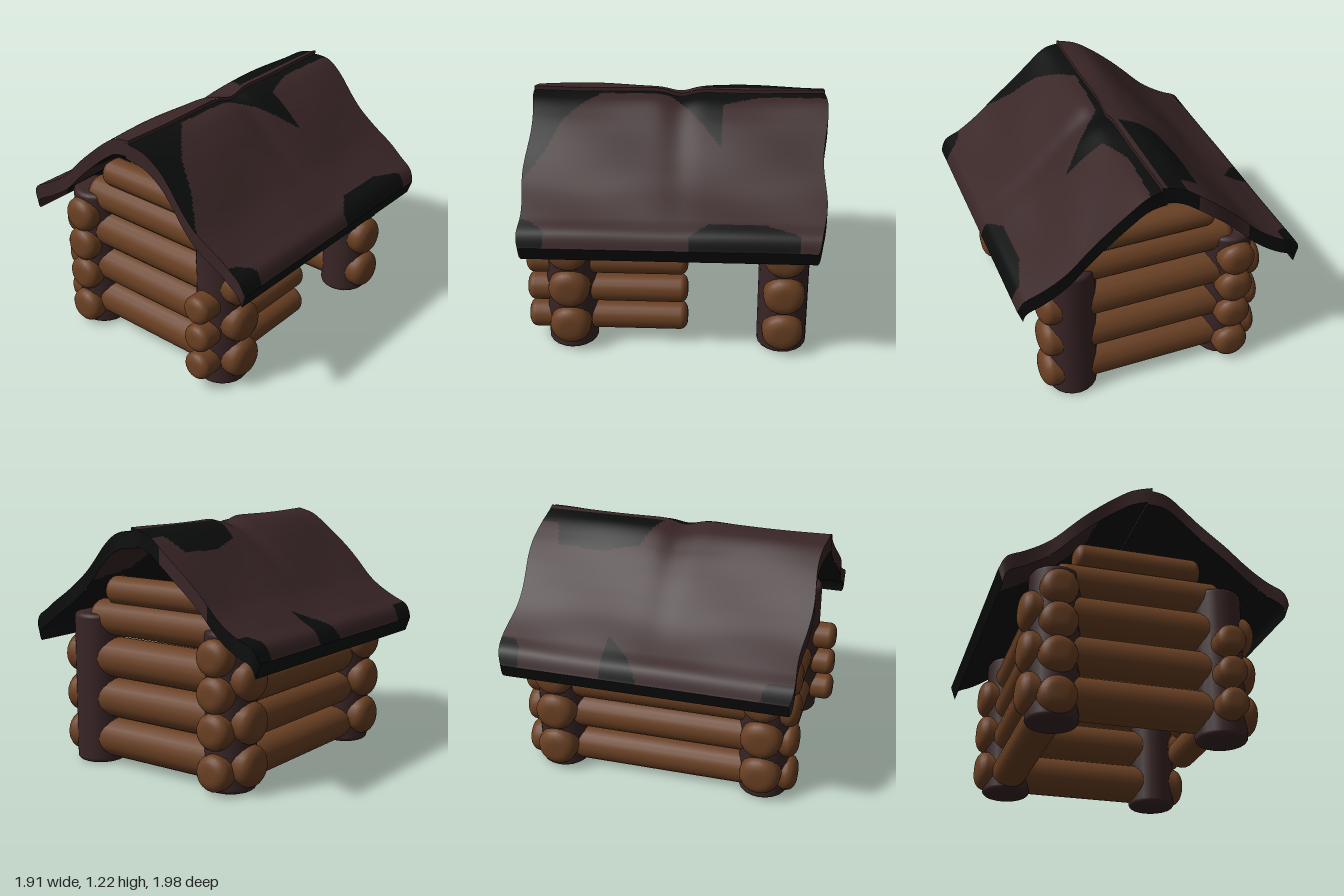
import * as THREE from 'three';

const wood = new THREE.MeshStandardMaterial({ color: 0x6a4023 });
wood.name = 'logWood';
const brown = new THREE.MeshStandardMaterial({ color: 0x392526 });
brown.name = 'darkBrown';
const black = new THREE.MeshStandardMaterial({ color: 0x0b0d0c });
black.name = 'charredBlack';

const A = 0.41, B = 0.53; // corner post offsets

// Round timber standing on y, with softened ends
function timber(name, radius, length, round, material) {
  const h = length / 2, pts = [new THREE.Vector2(0, -h)];
  const arc = (k, up) => {
    const a = (k / 5) * Math.PI / 2;
    return new THREE.Vector2(radius - round + round * Math.sin(a), up * (h - round * 0.8 + round * 0.8 * Math.cos(a)));
  };
  for (let k = 0; k <= 5; k++) pts.push(arc(k, -1));
  for (let k = 5; k >= 0; k--) pts.push(arc(k, 1));
  pts.push(new THREE.Vector2(0, h));
  const mesh = new THREE.Mesh(new THREE.LatheGeometry(pts, 20), material);
  mesh.name = name;
  return mesh;
}

// Horizontal log between two positions along an axis
function log(name, axis, from, to, across, y, radius) {
  const mesh = timber(name, radius, to - from, radius * 0.65, wood);
  const mid = (from + to) / 2;
  if (axis === 'x') {
    mesh.rotation.z = Math.PI / 2;
    mesh.position.set(mid, y, across);
  } else {
    mesh.rotation.x = Math.PI / 2;
    mesh.position.set(across, y, mid);
  }
  return mesh;
}

// Surface from a point rule; each cell takes brown or black from a colour rule
function surface(name, nu, nv, point, isBlack) {
  const pos = [], sets = [[], []];
  for (let j = 0; j <= nv; j++)
    for (let i = 0; i <= nu; i++) pos.push(...point(i / nu, j / nv));
  for (let j = 0; j < nv; j++)
    for (let i = 0; i < nu; i++) {
      const a = j * (nu + 1) + i, b = a + 1, d = a + nu + 1, c = d + 1;
      const p = point((i + 0.5) / nu, (j + 0.5) / nv);
      sets[isBlack(p[0], p[2]) ? 1 : 0].push(a, b, c, a, c, d);
    }
  const geo = new THREE.BufferGeometry();
  geo.setAttribute('position', new THREE.Float32BufferAttribute(pos, 3));
  geo.setIndex([...sets[0], ...sets[1]]);
  geo.addGroup(0, sets[0].length, 0);
  geo.addGroup(sets[0].length, sets[1].length, 1);
  geo.computeVertexNormals();
  const mesh = new THREE.Mesh(geo, [brown, black]);
  mesh.name = name;
  return mesh;
}

// Black patches on the roof, as outlines in plan
const patches = [
  [[0.026, 0.36], [0.05, 0.4], [0.2, 0.57], [0.32, 0.64], [0.5, 0.8], [0.026, 0.8]],
  [[0.026, -0.8], [0.09, -0.8], [0.06, -0.4], [0.12, -0.21], [0.31, -0.21], [0.17, -0.07], [0.06, 0.04], [0.04, 0.4], [0.026, 0.4]],
  [[0, -0.8], [0, -0.1], [-0.03, -0.12], [-0.17, -0.18], [-0.21, -0.36], [-0.2, -0.6], [-0.1, -0.63], [-0.1, -0.8]],
  [[-0.8, -0.23], [-0.54, -0.23], [-0.62, -0.12], [-0.8, 0.03]],
  [[0.8, -0.05], [0.68, -0.07], [0.62, -0.16], [0.62, -0.42], [0.67, -0.58], [0.8, -0.6]],
  [[-0.8, -0.8], [-0.61, -0.8], [-0.61, -0.68], [-0.66, -0.64], [-0.8, -0.64]],
  [[0.8, 0.8], [0.6, 0.8], [0.62, 0.69], [0.67, 0.62], [0.8, 0.62]],
  [[-0.8, 0.8], [-0.66, 0.8], [-0.66, 0.58], [-0.8, 0.5]],
];
// Brown patches left on the underside
const bare = [
  [[0.06, -0.8], [0.3, -0.8], [0.26, -0.45], [0.08, -0.4]],
  [[0.45, -0.3], [0.62, -0.25], [0.55, 0.05]],
  [[-0.24, 0.8], [-0.26, 0.56], [-0.5, 0.5], [-0.8, 0.5], [-0.8, 0.8]],
];
const inside = (x, z, poly) => poly.reduce((hit, [x1, z1], i) => {
  const [x2, z2] = poly[(i + 1) % poly.length];
  return (z1 > z) !== (z2 > z) && x < x1 + (x2 - x1) * (z - z1) / (z2 - z1) ? !hit : hit;
}, false);
const patched = (x, z) => patches.some((p) => inside(x, z, p));
const charredBelow = (x, z) => !bare.some((p) => inside(x, z, p));

const slope = new THREE.SplineCurve([
  [0, 1.198], [0.1, 1.182], [0.19, 1.125], [0.28, 1.045], [0.38, 0.95], [0.475, 0.865], [0.6, 0.785], [0.68, 0.74], [0.712, 0.675],
].map((p) => new THREE.Vector2(...p)));

// One roof slope: lumpy slab with top, underside and four edges
function roofSlope(side) {
  const slab = new THREE.Group();
  slab.name = side > 0 ? 'leftRoofSlope' : 'rightRoofSlope';
  const P = (a, w, h) => { // a: across towards +x, w: along the ridge, h: 0 underside, 1 top
    const t = side > 0 ? a : 1 - a;
    const q = slope.getPoint(t), s = w * 2 - 1;
    const inset = h ? 0 : 0.025 * t ** 8;
    const x = side * (q.x - inset) + (side < 0 ? 0.025 * (1 - t) : 0);
    const corner = 0.02 * t ** 12 * Math.abs(s) ** 12;
    const z = s * (0.722 + 0.035 * x * s + 0.01 * Math.sin(x * 17 + s) - corner);
    const dip = (1 - t) ** 2 * (0.008 - 0.028 * Math.exp(-((z * 14) ** 2)));
    const lump = dip + 0.008 * (1 - t ** 3) * Math.sin(z * 8 + 1) * Math.sin(x * 15);
    const lift = side < 0 ? 0.016 * (1 - t) ** 2 : 0;
    return [x, q.y + lift + lump - (h ? 0 : 0.08 - 0.01 * t ** 8), z];
  };
  const allBlack = () => true, allBrown = () => false;
  const backRimBlack = (x) => x > -0.15 || x < -0.42;
  slab.add(
    surface('roofTop', 130, 120, (u, v) => P(v, u, 1), patched),
    surface('roofUnderside', 60, 60, (u, v) => P(u, v, 0), charredBelow),
    surface('frontRim', 40, 1, (u, v) => P(u, 1, v), allBrown),
    surface('backRim', 1, 40, (u, v) => P(v, 0, u), backRimBlack),
    surface(side > 0 ? 'eaveEdge' : 'ridgeEdge', 1, 60, (u, v) => P(1, v, u), side > 0 ? allBlack : allBrown),
    surface(side > 0 ? 'ridgeEdge' : 'eaveEdge', 60, 1, (u, v) => P(0, u, v), side > 0 ? allBrown : allBlack),
  );
  return slab;
}

export function createModel() {
  const cabin = new THREE.Group();
  cabin.name = 'logCabin';

  // Corner posts
  for (const sx of [-1, 1])
    for (const sz of [-1, 1]) {
      const post = timber('cornerPost', 0.125, 0.77, 0.03, brown);
      post.position.set(sx * A, 0.385, sz * B);
      cabin.add(post);
    }

  // Front and back walls with shorter gable logs
  for (const [name, z, base] of [['frontWallLog', B, 0.145], ['backWallLog', -B, 0.13]]) {
    for (let i = 0; i < 3; i++) cabin.add(log(name, 'x', -0.58, 0.58, z, base + i * 0.207, 0.103));
    cabin.add(log('gableLog', 'x', -0.42, 0.42, z, 0.745, 0.09));
    cabin.add(log('gableLog', 'x', -0.32, 0.32, z, 0.885, 0.073));
  }

  // Closed side wall
  for (const y of [0.105, 0.303, 0.478, 0.65]) cabin.add(log('sideWallLog', 'z', -0.71, 0.7, -A, y, 0.091));

  // Side wall with the doorway: short logs from the front post
  for (let i = 0; i < 3; i++) cabin.add(log('doorwayLog', 'z', -0.055, 0.75, A, 0.14 + i * 0.16, 0.073));

  // Roof
  const roof = new THREE.Group();
  roof.name = 'roof';
  roof.add(roofSlope(1), roofSlope(-1));
  cabin.add(roof);

  cabin.rotation.y = -Math.PI / 6;
  const model = new THREE.Group();
  model.name = 'cabinModel';
  model.add(cabin);
  return model;
}
